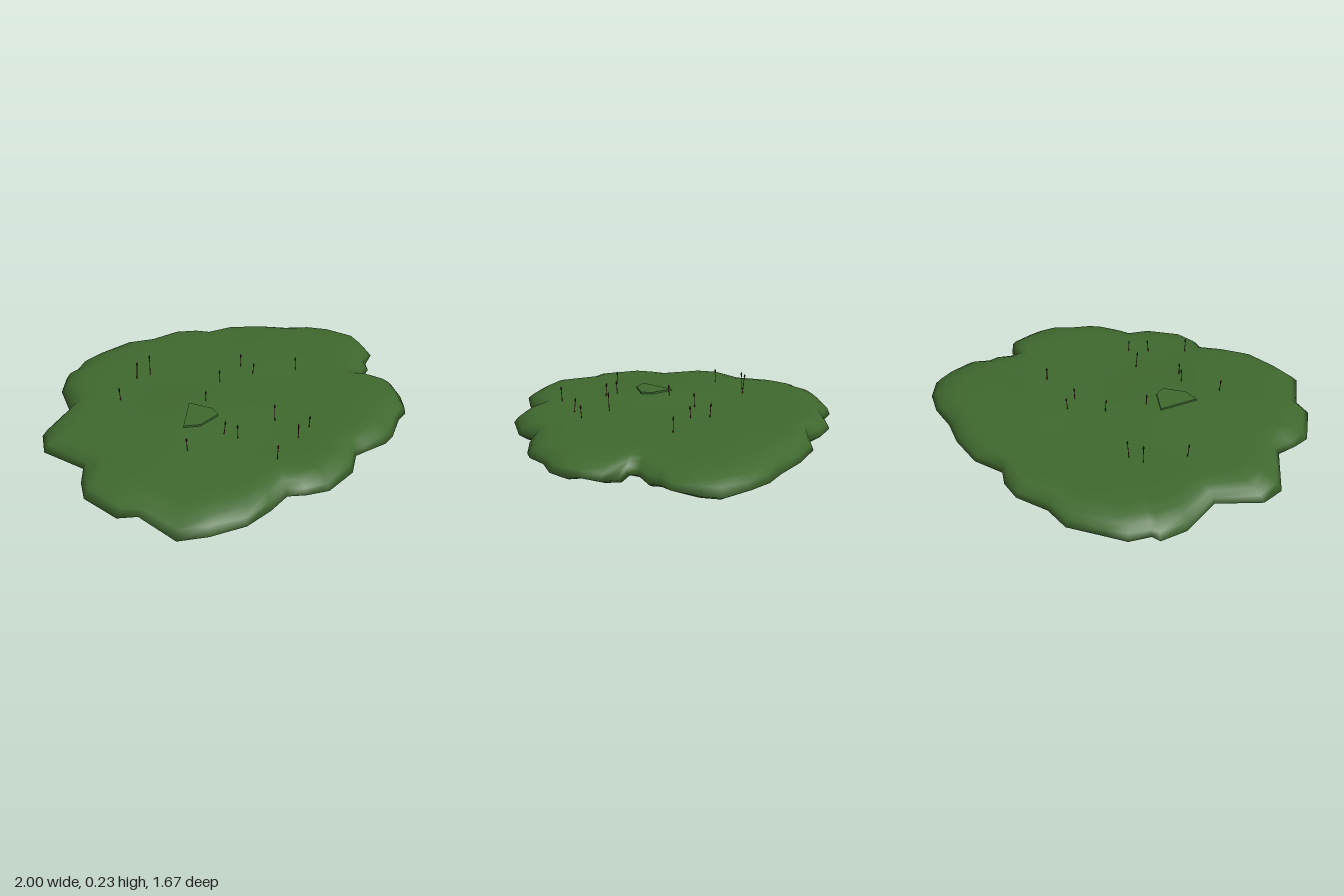
import * as THREE from 'three';
import { mergeVertices } from 'three/addons/utils/BufferGeometryUtils.js';

// Lobed outline of the patch (x, z), clockwise seen from above
const OUTLINE = [
  [-0.2, -0.84], [-0.1, -0.83], [0.09, -0.79], [0.19, -0.7], [0.35, -0.65], [0.43, -0.56],
  [0.46, -0.48], [0.61, -0.43], [0.74, -0.3], [0.82, -0.17], [0.92, -0.07], [0.98, 0.04],
  [1, 0.17], [0.96, 0.25], [0.88, 0.35], [0.79, 0.37], [0.75, 0.41], [0.67, 0.43],
  [0.62, 0.47], [0.66, 0.52], [0.675, 0.6], [0.6, 0.69], [0.55, 0.74], [0.49, 0.78],
  [0.4, 0.79], [0.27, 0.83], [0.2, 0.83], [0.08, 0.8], [0.02, 0.775], [-0.09, 0.825],
  [-0.28, 0.82], [-0.37, 0.76], [-0.42, 0.69], [-0.55, 0.695], [-0.7, 0.68], [-0.84, 0.59],
  [-0.945, 0.5], [-0.94, 0.28], [-1, 0.21], [-0.99, 0], [-0.93, -0.08], [-0.85, -0.15],
  [-0.865, -0.4], [-0.785, -0.5], [-0.56, -0.55], [-0.45, -0.73], [-0.34, -0.81], [-0.3, -0.8],
];

// Gently mounded top surface
const bump = (x, z, cx, cz, h, w) => h * Math.exp(-((x - cx) ** 2 + (z - cz) ** 2) / (w * w));
const topHeight = (x, z) =>
  0.115 + bump(x, z, -0.33, 0.05, 0.03, 0.28) + bump(x, z, 0.4, -0.05, 0.018, 0.25) +
  bump(x, z, -0.1, -0.5, 0.012, 0.25) + 0.004 * Math.sin(7 * x + 2) * Math.cos(6 * z);

function mossGeometry() {
  // [scale, share of the top height]; null share means underside
  const rings = [
    [0, null], [0.4, null], [0.75, null], [0.95, null], [1, 0.32], [0.975, 0.58], [0.94, 0.78],
    [0.89, 0.92], [0.82, 0.99], [0.7, 1], [0.56, 1], [0.42, 1], [0.28, 1], [0.14, 1], [0, 1],
  ];
  const n = OUTLINE.length, pos = [], index = [];
  rings.forEach(([s, share], i) => {
    OUTLINE.forEach(([ox, oz], j) => {
      // inner rings lose the lobes and become rounder
      const k = share === null ? 1 : s * s;
      const f = s * (k + (1 - k) * 0.87 / Math.hypot(ox, oz));
      const x = ox * f, z = oz * f;
      const wave = s * Math.sin(j * 1.9);
      let y = share === null ? 0.014 + 0.01 * wave : topHeight(x, z) * share;
      if (s === 1) y += 0.007 * wave;
      pos.push(x, y, z);
      if (i < rings.length - 1) {
        const a = i * n + j, b = i * n + (j + 1) % n;
        if (s > 0) index.push(a, a + n, b);
        if (rings[i + 1][0] > 0) index.push(b, a + n, b + n);
      }
    });
  });
  let g = new THREE.BufferGeometry();
  g.setAttribute('position', new THREE.Float32BufferAttribute(pos, 3));
  g.setIndex(index);
  g = mergeVertices(g, 1e-5);
  g.computeVertexNormals();
  return g;
}

// Stalks: x, z, tip height
const STALKS = [
  [-0.41, -0.33, 0.2], [-0.21, -0.41, 0.225], [-0.14, -0.38, 0.235], [-0.17, 0.02, 0.2],
  [0.03, -0.05, 0.2], [0.22, -0.06, 0.2], [0.2, 0.03, 0.19], [-0.53, 0.21, 0.2],
  [0.38, 0.18, 0.2], [-0.33, 0.26, 0.205], [-0.31, 0.33, 0.2], [-0.07, 0.37, 0.215],
  [-0.32, 0.56, 0.2], [-0.12, 0.54, 0.19], [-0.01, 0.525, 0.18],
];

export function createModel() {
  const green = new THREE.MeshStandardMaterial({ color: 0x40692f });
  green.name = 'mossGreen';
  const red = new THREE.MeshStandardMaterial({ color: 0x6b2418 });
  red.name = 'stalkRed';
  const brown = new THREE.MeshStandardMaterial({ color: 0x3a1c12 });
  brown.name = 'capsuleBrown';

  const model = new THREE.Group();
  model.name = 'mossPatch';
  const add = (parent, name, geo, mat) => {
    const m = new THREE.Mesh(geo, mat);
    m.name = name;
    parent.add(m);
    return m;
  };

  add(model, 'mossCushion', mossGeometry(), green);

  // Small raised flat tuft on the highest mound
  const tuftShape = new THREE.Shape(
    [[-0.25, 0.02], [-0.42, -0.09], [-0.36, -0.145], [-0.24, -0.155], [-0.215, -0.1]]
      .map(([x, y]) => new THREE.Vector2(x, y)));
  const tuft = add(model, 'flatTuft',
    new THREE.ExtrudeGeometry(tuftShape, { depth: 0.009, bevelEnabled: false }), green);
  tuft.rotation.x = -Math.PI / 2;
  tuft.position.y = 0.142;

  // Thin leaning stalks with pointed spore capsules
  const capsuleGeo = new THREE.LatheGeometry(
    [[0, -0.012], [0.004, -0.006], [0.0045, 0.002], [0, 0.014]].map(([r, y]) => new THREE.Vector2(r, y)), 6);
  STALKS.forEach(([x, z, tip], i) => {
    const stalk = new THREE.Group();
    stalk.name = 'sporeStalk';
    const base = topHeight(x, z) - 0.02;
    const h = tip - 0.014 - base;
    stalk.position.set(x, base, z);
    stalk.rotation.set(0.08 * Math.sin(i * 2.3), 0, 0.08 * Math.cos(i * 1.7));
    add(stalk, 'stem', new THREE.CylinderGeometry(0.0015, 0.0022, h, 5), red).position.y = h / 2;
    add(stalk, 'capsule', capsuleGeo, brown).position.y = h;
    model.add(stalk);
  });
  return model;
}
